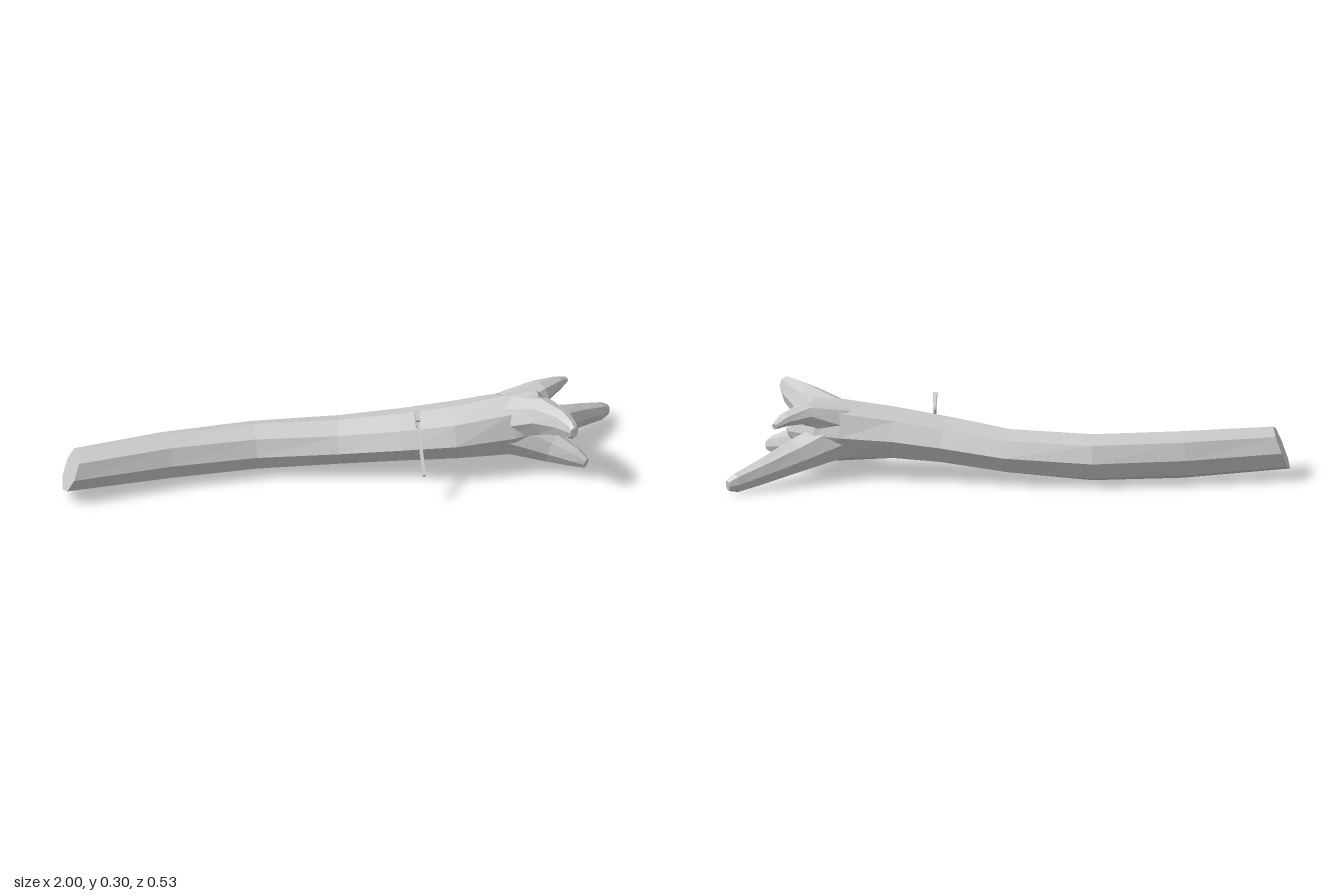
import * as THREE from 'three';

const grey = new THREE.MeshStandardMaterial({ color: 0xcccccc, flatShading: true, side: THREE.DoubleSide });

// Closed low-poly tube through stations [x, y, z, upRadius, sideRadius];
// the rings follow the path, startDir can slant the first one.
function limb(name, stations, sides, startDir) {
  const centres = stations.map(s => new THREE.Vector3(s[0], s[1], s[2]));
  const last = centres.length - 1;
  const pos = [], idx = [];
  stations.forEach(([, , , ru, rs], i) => {
    const dir = i === 0 && startDir ? startDir.clone()
      : centres[Math.min(i + 1, last)].clone().sub(centres[Math.max(i - 1, 0)]);
    dir.normalize();
    const side = new THREE.Vector3().crossVectors(dir, new THREE.Vector3(0, 1, 0)).normalize();
    const up = new THREE.Vector3().crossVectors(side, dir);
    for (let k = 0; k < sides; k++) {
      const a = k / sides * Math.PI * 2;
      const p = centres[i].clone().addScaledVector(up, Math.cos(a) * ru).addScaledVector(side, Math.sin(a) * rs);
      pos.push(p.x, p.y, p.z);
    }
  });
  for (let i = 0; i < last; i++) {
    for (let k = 0; k < sides; k++) {
      const a = i * sides + k, b = i * sides + (k + 1) % sides;
      idx.push(a, b, a + sides, b, b + sides, a + sides);
    }
  }
  // end caps
  for (let k = 1; k < sides - 1; k++) {
    const e = last * sides;
    idx.push(0, k + 1, k, e, e + k, e + k + 1);
  }
  const indexed = new THREE.BufferGeometry();
  indexed.setAttribute('position', new THREE.Float32BufferAttribute(pos, 3));
  indexed.setIndex(idx);
  const geo = indexed.toNonIndexed();
  geo.computeVertexNormals();
  const mesh = new THREE.Mesh(geo, grey);
  mesh.name = name;
  return mesh;
}

export function createModel() {
  const model = new THREE.Group();
  model.name = 'fallenLogWithHatchet';

  // Bent eight-sided trunk, cut on a slant at one end, closing in the crotch of the roots
  model.add(limb('trunk', [
    [-0.97, 0.107, -0.022, 0.083, 0.078],
    [-0.62, 0.099, -0.083, 0.086, 0.083],
    [-0.30, 0.096, -0.109, 0.085, 0.092],
    [0.00, 0.110, -0.075, 0.080, 0.103],
    [0.22, 0.137, -0.030, 0.085, 0.114],
    [0.40, 0.155, -0.003, 0.095, 0.122],
    [0.60, 0.165, -0.002, 0.115, 0.112],
    [0.70, 0.172, -0.010, 0.115, 0.095],
    [0.78, 0.170, -0.030, 0.012, 0.012],
  ], 8, new THREE.Vector3(0.155, -0.06, 0)));

  // Four stubby roots splaying from the end
  const roots = {
    longRoot: [
      [0.60, 0.145, -0.02, 0.085, 0.085],
      [0.75, 0.095, -0.10, 0.062, 0.062],
      [0.87, 0.062, -0.185, 0.047, 0.040],
      [0.96, 0.038, -0.24, 0.036, 0.026],
      [0.99, 0.032, -0.257, 0.020, 0.014],
    ],
    upperFrontRoot: [
      [0.60, 0.19, 0.00, 0.085, 0.090],
      [0.71, 0.237, 0.09, 0.068, 0.065],
      [0.765, 0.252, 0.18, 0.050, 0.040],
      [0.785, 0.258, 0.235, 0.035, 0.026],
      [0.79, 0.26, 0.258, 0.018, 0.014],
    ],
    lowerFrontRoot: [
      [0.60, 0.145, 0.02, 0.085, 0.085],
      [0.74, 0.095, 0.07, 0.058, 0.055],
      [0.82, 0.073, 0.12, 0.036, 0.032],
      [0.85, 0.062, 0.146, 0.020, 0.014],
    ],
    upperBackRoot: [
      [0.60, 0.20, -0.02, 0.080, 0.080],
      [0.72, 0.245, -0.07, 0.040, 0.050],
      [0.79, 0.237, -0.13, 0.024, 0.028],
      [0.825, 0.224, -0.168, 0.011, 0.012],
    ],
  };
  for (const [name, stations] of Object.entries(roots)) model.add(limb(name, stations, 8));

  // Hatchet bitten into the trunk, its handle sloping down to the front
  const hatchet = new THREE.Group();
  hatchet.name = 'hatchet';
  const handle = new THREE.Mesh(new THREE.BoxGeometry(0.011, 0.235, 0.014), grey);
  handle.name = 'handle';
  handle.position.y = -0.1;
  // head: a block tapering to the cutting edge at -z
  const headGeo = new THREE.BoxGeometry(0.016, 0.036, 0.075);
  const p = headGeo.attributes.position;
  for (let i = 0; i < p.count; i++) {
    if (p.getZ(i) < 0) p.setXYZ(i, p.getX(i) * 0.2, p.getY(i) * 1.5, p.getZ(i));
  }
  headGeo.computeVertexNormals();
  const head = new THREE.Mesh(headGeo, grey);
  head.name = 'head';
  head.position.z = -0.018;
  hatchet.add(handle, head);
  hatchet.position.set(0.258, 0.258, 0.062);
  hatchet.rotation.x = -0.83;
  model.add(hatchet);

  return model;
}
